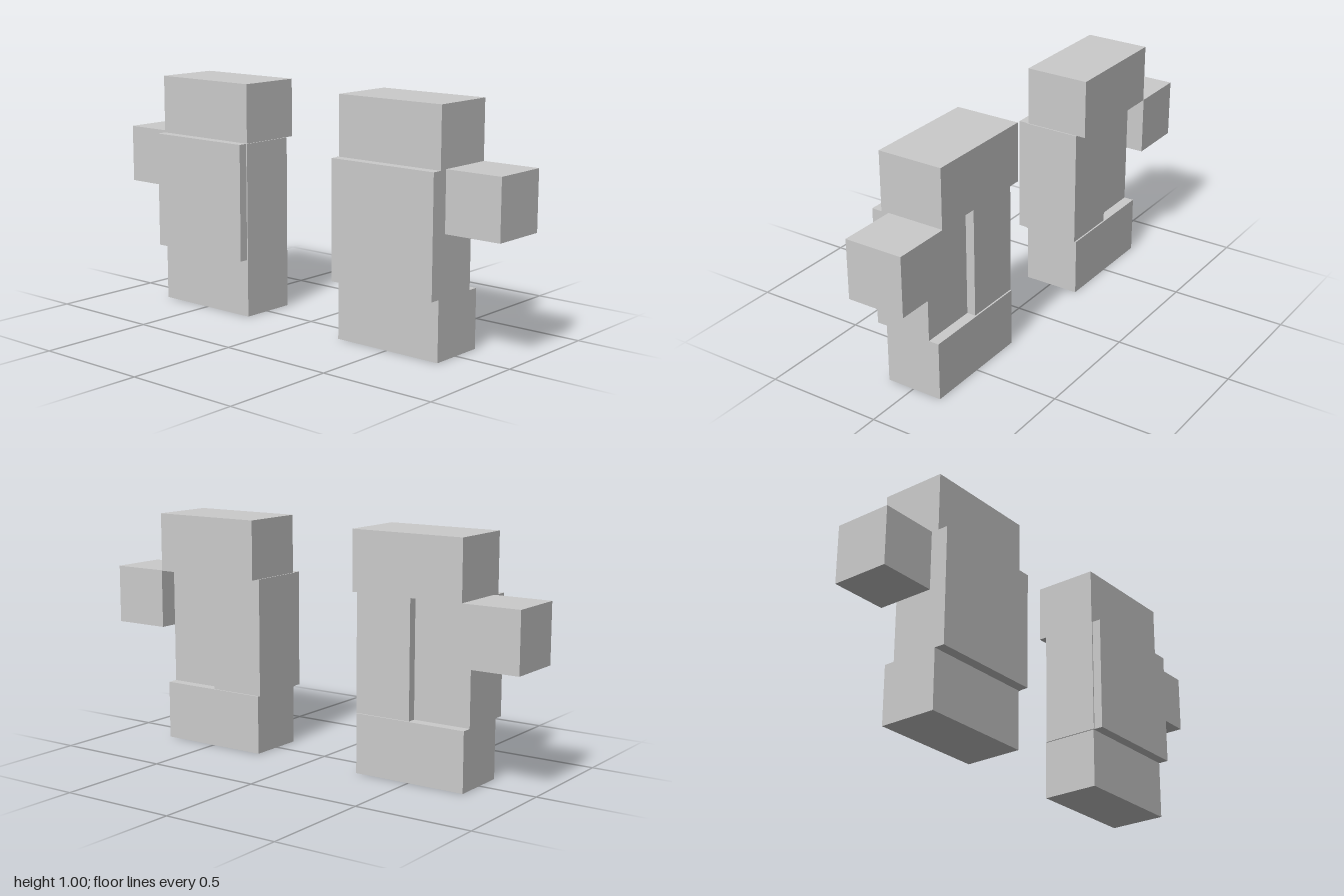
import * as THREE from 'three';

const material = new THREE.MeshStandardMaterial({ color: 0xcccccc, flatShading: true });

// Box given by its extents; side mirrors it across x = 0
function block(name, side, [x0, x1], [y0, y1], [z0, z1]) {
  const mesh = new THREE.Mesh(new THREE.BoxGeometry(x1 - x0, y1 - y0, z1 - z0), material);
  mesh.name = name;
  mesh.position.set(side * (x0 + x1) / 2, (y0 + y1) / 2, (z0 + z1) / 2);
  return mesh;
}

// One half: stacked shoulder, upper arm and cuff blocks with an outer cube
function createHalf(name, side) {
  const half = new THREE.Group();
  half.name = name;
  half.add(
    block('topBlock', side, [0.252, 0.75], [0.75, 1], [-0.162, 0.12]),
    block('frontSlab', side, [0.252, 0.75], [0.25, 0.75], [-0.085, 0.164]),
    // inner block stands out behind the slab and slightly past its inner side
    block('innerBlock', side, [0.247, 0.497], [0.25, 0.75], [-0.123, 0.125]),
    block('bottomBlock', side, [0.252, 0.75], [0, 0.25], [-0.13, 0.12]),
    block('outerCube', side, [0.75, 1], [0.502, 0.752], [-0.164, 0.086]),
  );
  return half;
}

export function createModel() {
  const model = new THREE.Group();
  model.name = 'blockPair';
  model.add(createHalf('leftHalf', 1), createHalf('rightHalf', -1));
  return model;
}
